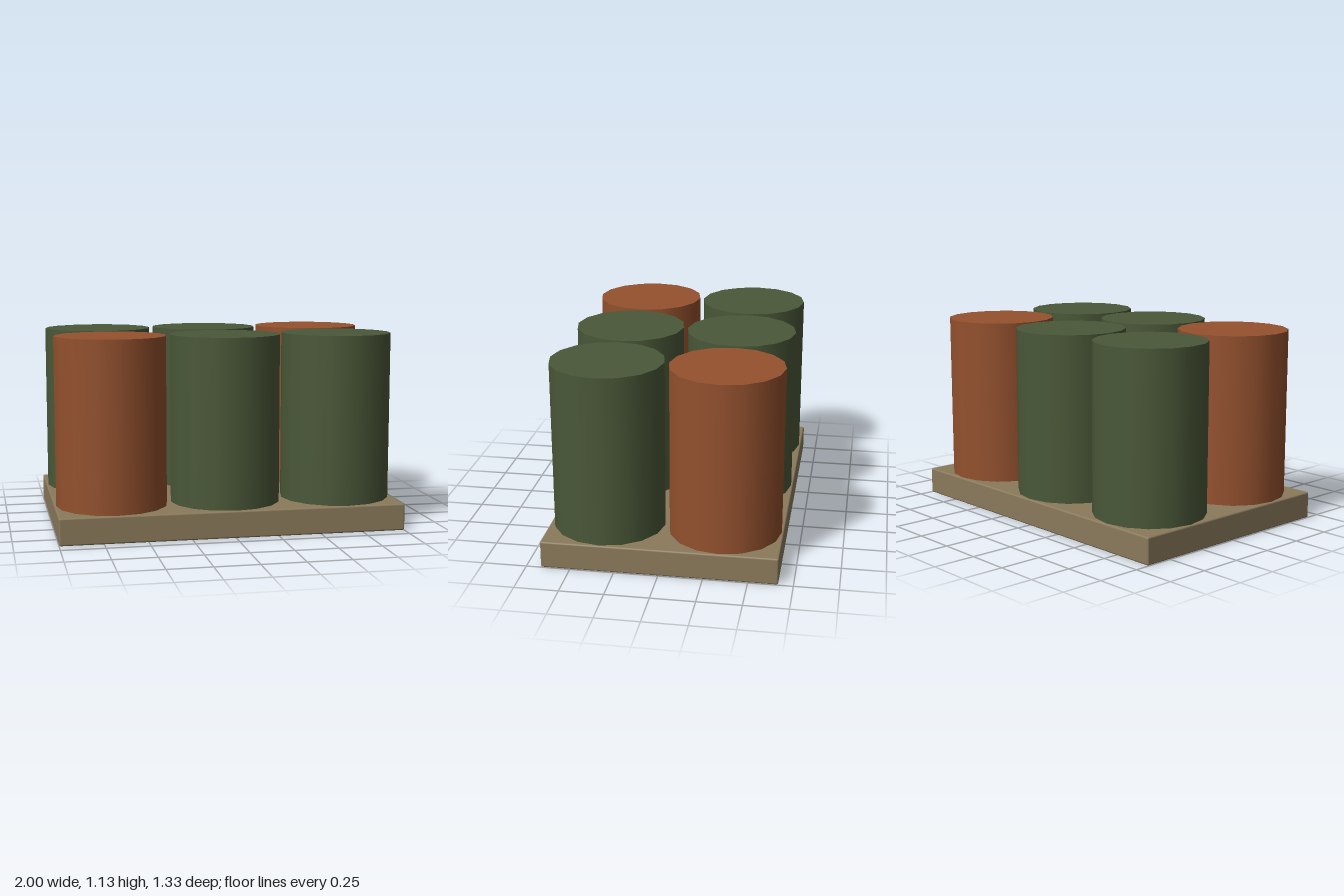
import * as THREE from 'three';
import { RoundedBoxGeometry } from 'three/addons/geometries/RoundedBoxGeometry.js';

const material = (name, color) => {
  const m = new THREE.MeshStandardMaterial({ color });
  m.name = name;
  return m;
};

export function createModel() {
  const group = new THREE.Group();
  group.name = 'barrelPallet';

  const wood = material('tan wood', 0x8b7a5c);
  const green = material('olive green', 0x4a5838);
  const rust = material('rust orange', 0x94512e);

  // Pallet slab with slightly softened edges
  const baseHeight = 0.157;
  const pallet = new THREE.Mesh(new RoundedBoxGeometry(2, baseHeight, 1.334, 2, 0.01), wood);
  pallet.name = 'pallet';
  pallet.position.y = baseHeight / 2;
  group.add(pallet);

  // Two rows of three drums; the two rust ones sit at opposite corners
  const height = 0.977;
  const drumGeometry = new THREE.CylinderGeometry(0.322, 0.322, height, 16);
  for (const row of [-1, 1]) {
    for (const column of [-1, 0, 1]) {
      const drum = new THREE.Mesh(drumGeometry, row * column === -1 ? rust : green);
      drum.name = `${row > 0 ? 'front' : 'back'}${['Right', 'Middle', 'Left'][column + 1]}Drum`;
      drum.position.set(column * 0.667, baseHeight + height / 2, row * 0.334);
      group.add(drum);
    }
  }
  return group;
}
